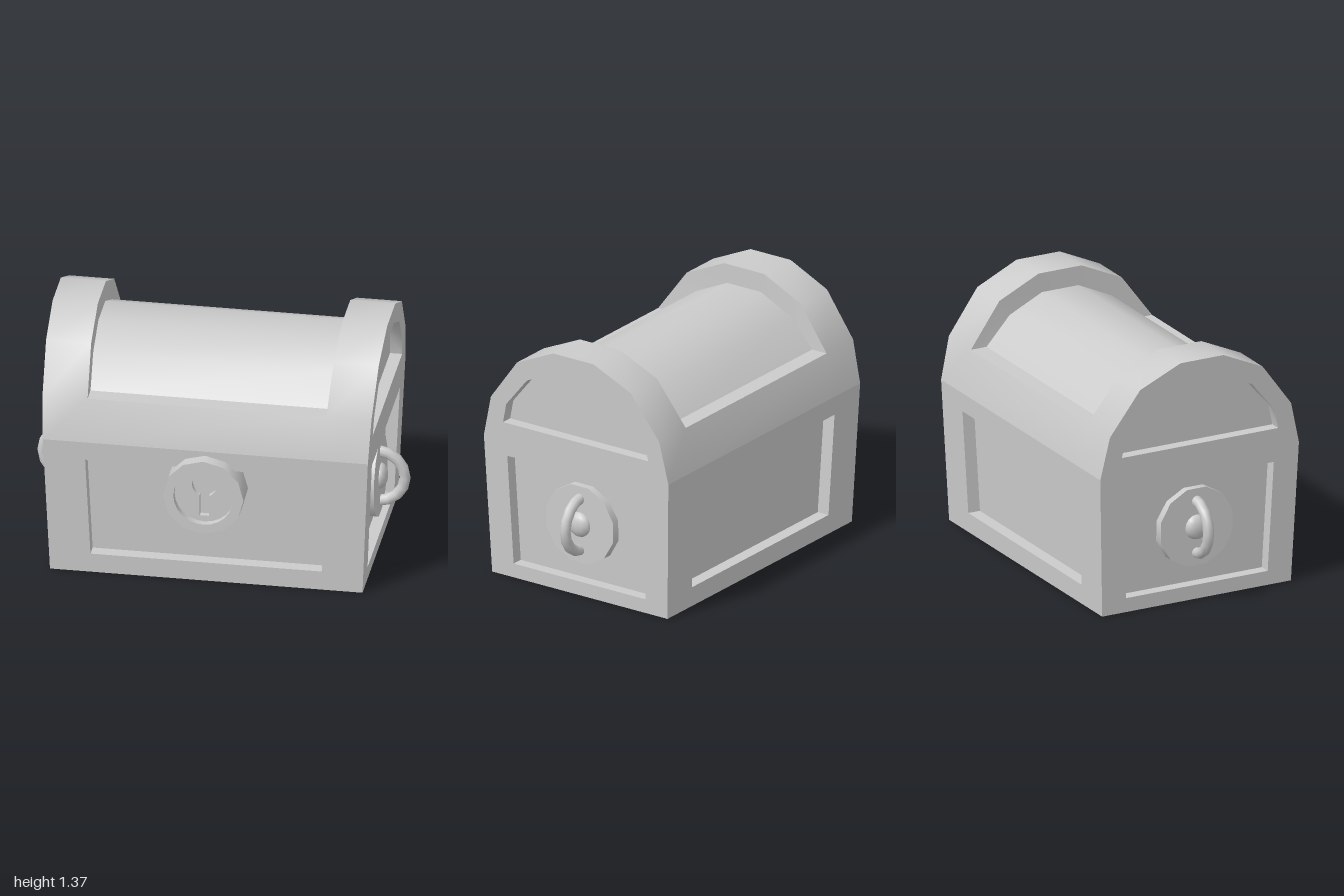
import * as THREE from 'three';
import { toCreasedNormals } from 'three/addons/utils/BufferGeometryUtils.js';

const material = new THREE.MeshStandardMaterial({ color: 0xcccccc, side: THREE.DoubleSide });

function mesh(name, geometry, parent) {
  const m = new THREE.Mesh(geometry, material);
  m.name = name;
  parent.add(m);
  return m;
}

// Skins a list of point rows; rows may be closed loops, the last one may be capped.
function loft(rows, closed = false, cap = false) {
  const pos = [];
  const tri = (a, b, c) => {
    const area = b.clone().sub(a).cross(c.clone().sub(a)).length();
    if (area > 1e-7) pos.push(...a, ...b, ...c);
  };
  for (let i = 0; i < rows.length - 1; i++) {
    const p = rows[i], q = rows[i + 1], n = p.length;
    for (let j = 0; j < (closed ? n : n - 1); j++) {
      const k = (j + 1) % n;
      tri(p[j], p[k], q[k]);
      tri(p[j], q[k], q[j]);
    }
  }
  if (cap) {
    const l = rows[rows.length - 1];
    for (let j = 1; j < l.length - 1; j++) tri(l[0], l[j], l[j + 1]);
  }
  const g = new THREE.BufferGeometry();
  g.setAttribute('position', new THREE.Float32BufferAttribute(pos, 3));
  return toCreasedNormals(g, 0.7);
}

const V = (x, y, z) => new THREE.Vector3(x, y, z);
const SEAM = 0.785;                          // height where lid meets body
const halfX = y => 0.838 + 0.043 * y;        // walls flare outwards going up
const halfZ = y => 0.57 + 0.038 * y;

// Rim, recess walls and sunken floor between an outer and an inner outline
function recessed(outer, inner, offset) {
  return loft([outer, inner, inner.map(p => p.clone().add(offset))], true, true);
}

// Mirrors a half arch profile of [z, y] points from front to back
const arch = half => [...half, ...half.slice().reverse().map(([z, y]) => [-z, y])];
const outerArch = arch([[0.6, SEAM], [0.547, 1.02], [0.37, 1.26], [0.13, 1.37]]);
const endArch = arch([[0.472, 0.89], [0.448, 1.0], [0.308, 1.17], [0.11, 1.265]]);
const barrelArch = arch([[0.6, SEAM], [0.453, 1.02], [0.308, 1.17], [0.11, 1.262]]);

function lidBarrel() {
  const row = (k, sunk) => {
    const [z, y] = outerArch[k];
    const [iz, iy] = sunk ? barrelArch[k] : outerArch[k];
    const X = halfX(y), o = 0.64 + 0.043 * (y - 1.02);
    return [V(-X, y, z), V(-o, y, z), V(-o, iy, iz), V(o, iy, iz), V(o, y, z), V(X, y, z)];
  };
  const rows = [row(0), row(1)];
  for (let k = 1; k <= 6; k++) rows.push(row(k, true));
  rows.push(row(6), row(7));
  return loft(rows);
}

function lockPlate() {
  const lock = new THREE.Group();
  lock.name = 'lock';
  // Twelve-sided ring
  const ring = new THREE.Shape(Array.from({ length: 12 }, (_, i) => {
    const a = i * Math.PI / 6;
    return new THREE.Vector2(0.216 * Math.cos(a), 0.216 * Math.sin(a));
  }));
  ring.holes.push(new THREE.Path().absarc(0, 0, 0.16, 0, Math.PI * 2, true));
  const extrude = (shape, depth) => toCreasedNormals(
    new THREE.ExtrudeGeometry(shape, { depth, bevelEnabled: false, curveSegments: 12 }), 0.7);
  mesh('lockRing', extrude(ring, 0.168), lock);
  // Sunken face with a keyhole
  const face = new THREE.Shape().absarc(0, 0, 0.161, 0, Math.PI * 2);
  const hole = new THREE.Path();
  hole.moveTo(-0.025, -0.125);
  hole.lineTo(0.025, -0.125);
  hole.absarc(0, 0.055, 0.066, -Math.PI / 2 + 0.39, Math.PI * 1.5 - 0.39, false);
  hole.closePath();
  face.holes.push(hole);
  mesh('lockFace', extrude(face, 0.03), lock).position.z = 0.1;
  mesh('keyholeBack', new THREE.CircleGeometry(0.161, 24), lock).position.z = 0.1;
  lock.position.set(0, 0.545, 0.5);
  return lock;
}

function sideHandle() {
  const handle = new THREE.Group();
  handle.name = 'sideHandle';
  // Flat-topped twelve-sided plate
  const plate = new THREE.CylinderGeometry(0.224, 0.224, 0.07, 12);
  plate.rotateY(Math.PI / 12).rotateZ(-Math.PI / 2);
  mesh('handlePlate', plate, handle).position.x = 0.805;
  const knob = mesh('handleKnob', new THREE.SphereGeometry(0.07, 12, 8), handle);
  knob.scale.x = 0.6;
  knob.position.x = 0.838;
  const grip = mesh('handleRing', new THREE.TorusGeometry(0.149, 0.03, 10, 8, Math.PI), handle);
  grip.rotation.z = -Math.PI / 2;
  grip.position.x = 0.822;
  handle.position.y = 0.406;
  return handle;
}

export function createModel() {
  const model = new THREE.Group();
  model.name = 'treasureChest';
  const chest = new THREE.Group();
  chest.name = 'chest';
  chest.position.z = -0.031;
  model.add(chest);

  // Long walls, short walls, lid ends and handles: one half turned onto the other
  for (const [side, turn] of [['A', 0], ['B', Math.PI]]) {
    const half = new THREE.Group();
    half.name = 'half' + side;
    half.rotation.y = turn;
    chest.add(half);

    const X0 = halfX(0), X1 = halfX(SEAM), Z0 = halfZ(0), Z1 = halfZ(SEAM);
    mesh('longWall', recessed(
      [V(-X0, 0, Z0), V(X0, 0, Z0), V(X1, SEAM, Z1), V(-X1, SEAM, Z1)],
      [[-0.62, 0.11], [0.62, 0.11], [0.645, 0.68], [-0.645, 0.68]].map(([x, y]) => V(x, y, halfZ(y))),
      V(0, 0, -0.07)), half);
    mesh('shortWall', recessed(
      [V(X0, 0, Z0), V(X0, 0, -Z0), V(X1, SEAM, -Z1), V(X1, SEAM, Z1)],
      [[0.428, 0.08], [-0.428, 0.08], [-0.45, 0.7], [0.45, 0.7]].map(([z, y]) => V(halfX(y), y, z)),
      V(-0.065, 0, 0)), half);
    const outline = points => points.map(([z, y]) => V(halfX(y), y, z)).reverse();
    mesh('lidEnd', recessed(outline(outerArch), outline(endArch), V(-0.065, 0, 0)), half);
    half.add(sideHandle());
  }

  // Underside
  const base = new THREE.PlaneGeometry(2 * halfX(0), 2 * halfZ(0));
  base.rotateX(Math.PI / 2);
  mesh('bottom', base, chest);

  mesh('lidBarrel', lidBarrel(), chest);
  chest.add(lockPlate());
  return model;
}
